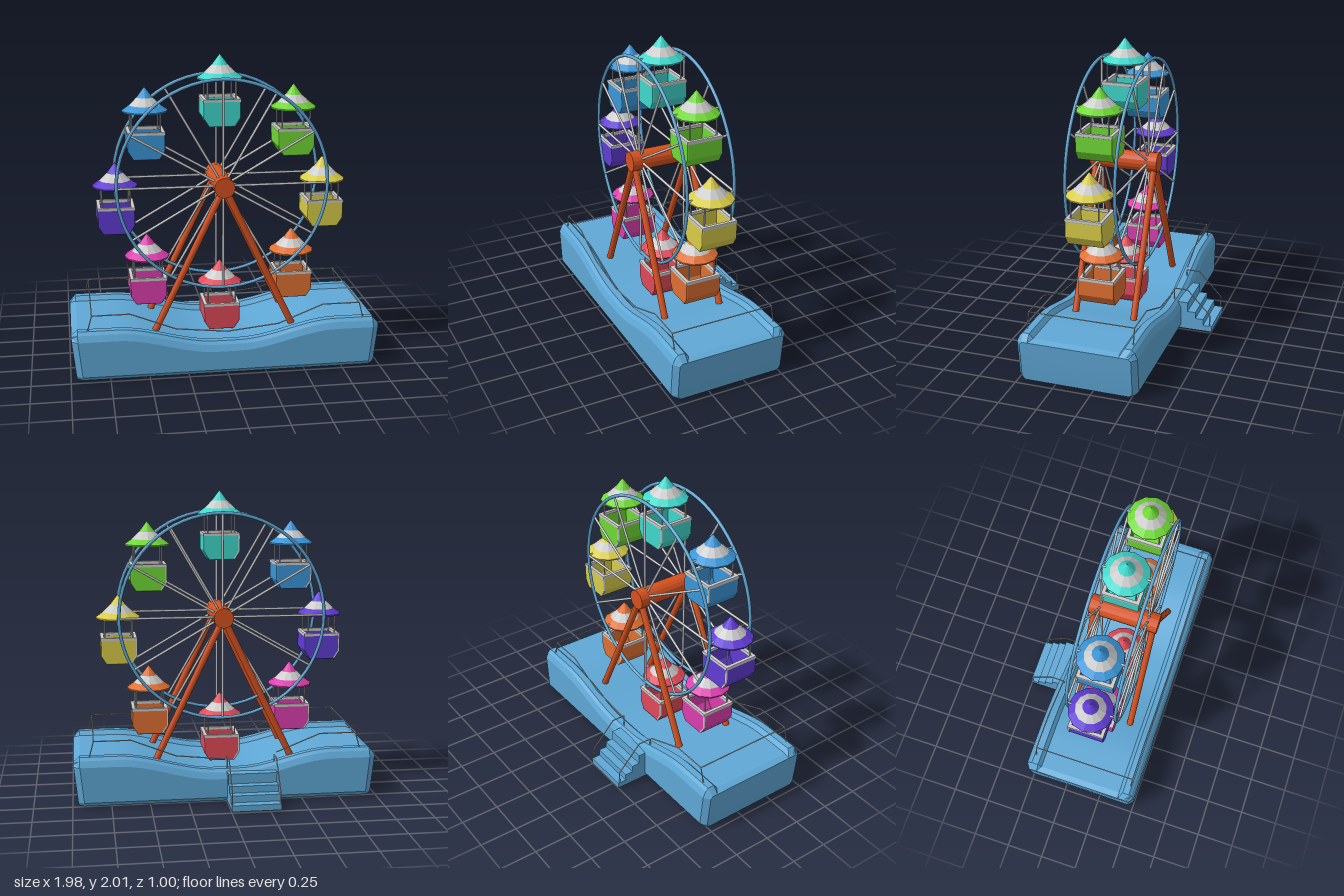
import * as THREE from 'three';
import { mergeGeometries, toCreasedNormals } from 'three/addons/utils/BufferGeometryUtils.js';

const ZC = 0.105, HUB_Y = 1.19, R = 0.677;
const mat = (color) => new THREE.MeshStandardMaterial({ color, side: THREE.DoubleSide });
const GREY = mat(0xcccccc), BLUE = mat(0x5fa8d6), RUST = mat(0xd5511f);
const V = (x, y, z) => new THREE.Vector3(x, y, z);

function add(parent, name, geometry, material) {
  const mesh = new THREE.Mesh(geometry, material);
  mesh.name = name;
  parent.add(mesh);
  return mesh;
}

// Round bar between two points
function bar(a, b, r, sides = 8) {
  const d = b.clone().sub(a);
  const g = new THREE.CylinderGeometry(r, r, d.length(), sides);
  g.applyQuaternion(new THREE.Quaternion().setFromUnitVectors(V(0, 1, 0), d.normalize()));
  return g.translate((a.x + b.x) / 2, (a.y + b.y) / 2, (a.z + b.z) / 2);
}

// Chain of bars through a list of points
const chain = (pts, r) => pts.slice(1).map((p, i) => bar(pts[i], p, r, 6));

// Height of the kerbs: level at the ends, dipping in the middle
const kerbTop = (x) => 0.22 + 0.11 * THREE.MathUtils.smoothstep(Math.abs(x), 0.08, 0.7);

// Platform lofted from cross-sections along x
function platformGeometry() {
  const xs = [-0.99, -0.95];
  for (let i = 0; i <= 28; i++) xs.push(-0.8 + i * 1.6 / 28);
  xs.push(0.95, 0.99);
  const pos = [], idx = [], n = 14;
  xs.forEach((x, i) => {
    const end = i === 0 || i === xs.length - 1;
    const t = kerbTop(x), top = end ? t - 0.045 : t, s = end ? 0.03 : 0;
    const half = [[0.375 - s, 0.01], [0.393 - s, 0.035], [0.393 - s, t - 0.06], [0.375 - s, Math.min(top, t - 0.02)],
      [0.355 - s, top], [0.31, top], [0.285, end ? top : t - 0.03]];
    const loop = [...half, ...half.map(([w, y]) => [-w, y]).reverse()];
    for (const [w, y] of loop) pos.push(x * (0.97 + 0.03 * Math.min(1, y / 0.26)), y, ZC + w);
  });
  for (let i = 0; i < xs.length - 1; i++) {
    for (let j = 0; j < n; j++) {
      const a = i * n + j, b = i * n + (j + 1) % n;
      idx.push(a, a + n, b, b, a + n, b + n);
    }
  }
  const last = (xs.length - 1) * n, c = pos.length / 3;
  pos.push(-0.98, 0.15, ZC, 0.98, 0.15, ZC);
  for (let j = 0; j < n; j++) {
    const k = (j + 1) % n;
    idx.push(c, j, k, c + 1, last + k, last + j);
  }
  const g = new THREE.BufferGeometry();
  g.setAttribute('position', new THREE.Float32BufferAttribute(pos, 3));
  g.setIndex(idx);
  return toCreasedNormals(g, 0.35);
}

// Steps at the back
function buildStairs(parent) {
  const s = new THREE.Shape();
  s.moveTo(0.2, 0.01);
  [[0.2, 0.205], [0.335, 0.205], [0.335, 0.14], [0.39, 0.14], [0.39, 0.095], [0.445, 0.095],
    [0.445, 0.05], [0.505, 0.05], [0.505, 0.01]].forEach(([z, y]) => s.lineTo(z, y));
  const g = new THREE.ExtrudeGeometry(s, { depth: 0.32, bevelEnabled: false });
  add(parent, 'stairs', g.rotateY(Math.PI / 2).translate(-0.32, 0, 0), BLUE);
  const rails = [-0.315, -0.005].flatMap((x) => chain([V(x, 0.2, -0.24), V(x, 0.3, -0.24),
    V(x, 0.3, -0.33), V(x, 0.13, -0.49), V(x, 0.04, -0.49)], 0.004));
  add(parent, 'stairRails', mergeGeometries(rails), GREY);
}

// Railing round the deck, open at the stairs
function buildRailing(parent) {
  const zf = 0.455, zb = -0.24;
  const run = (pts, z) => chain(pts.map(([x, y]) => V(x, y, z)), 0.004);
  const left = [[0.33, 0.315], [0.62, 0.43], [0.86, 0.43], [0.89, 0.32]];
  const right = left.map(([x, y]) => [-x, y]).reverse();
  const parts = [
    ...run([...right, [0, 0.28], ...left], zf),
    ...run([[0, 0.28], ...left], zb),
    ...run(right, zb),
    ...[-0.86, 0.86].map((x) => bar(V(x, 0.43, zf), V(x, 0.43, zb), 0.004, 6)),
  ];
  add(parent, 'deckRailing', mergeGeometries(parts), GREY);
}

// Outline of a cabin seen from the front
function cabinShape(inset = 0) {
  const s = new THREE.Shape(), w = 0.118 - inset;
  s.moveTo(-w, -0.15);
  s.lineTo(-w, -0.25);
  s.lineTo(-0.082 + inset * 0.5, -0.308 + inset);
  s.lineTo(0.082 - inset * 0.5, -0.308 + inset);
  s.lineTo(w, -0.25);
  s.lineTo(w, -0.15);
  return s;
}

function buildCabin(color) {
  const cabin = new THREE.Group(), paint = mat(color);
  cabin.name = 'cabin';
  const lathe = (pts) => new THREE.LatheGeometry(pts.map(([r, y]) => new THREE.Vector2(r, y)), 12).toNonIndexed();
  const roof = (name, pts, m) => {
    const g = lathe(pts);
    g.computeVertexNormals();
    add(cabin, name, g, m);
  };
  // Striped roof
  roof('roofEave', [[0, -0.018], [0.145, -0.018], [0.147, -0.008], [0.1, 0.025]], paint);
  roof('roofBand', [[0.1, 0.025], [0.052, 0.072]], GREY);
  roof('roofTip', [[0.052, 0.072], [0, 0.14]], paint);

  // Open tub: wrapped floor and sides, closed by front and back panels
  const shell = cabinShape();
  const inner = cabinShape(0.012).getPoints().reverse();
  inner.forEach((p) => shell.lineTo(p.x, p.y));
  const tub = new THREE.ExtrudeGeometry(shell, { depth: 0.22, bevelEnabled: false }).translate(0, 0, -0.11);
  const panels = [-1, 1].map((s) => new THREE.ExtrudeGeometry(cabinShape(0.008), {
    depth: 0.006, bevelThickness: 0.008, bevelSize: 0.008, bevelSegments: 2,
  }).translate(0, 0, s * 0.109 - 0.003));
  add(cabin, 'tub', mergeGeometries([tub, ...panels]), paint);

  // Grey lip, corner trim, posts and hanger
  const square = (h, Type) => new Type([[-h, -h], [h, -h], [h, h], [-h, h]].map(([x, y]) => new THREE.Vector2(x, y)));
  const lip = square(0.116, THREE.Shape);
  lip.holes.push(square(0.1, THREE.Path));
  const lipGeo = new THREE.ExtrudeGeometry(lip, { depth: 0.014, bevelThickness: 0.004, bevelSize: 0.004, bevelSegments: 2 });
  add(cabin, 'lip', lipGeo.rotateX(Math.PI / 2).translate(0, -0.136, 0), GREY);
  const trim = chain([V(-0.114, -0.15, -0.114), V(-0.114, -0.25, -0.114), V(-0.08, -0.302, -0.114)], 0.008);
  add(cabin, 'cornerTrim', mergeGeometries(trim), GREY);
  const posts = [];
  for (const x of [-0.09, 0.09]) for (const z of [-0.09, 0.09]) posts.push(bar(V(x, -0.15, z), V(x, -0.01, z), 0.005));
  posts.push(bar(V(0, 0, -0.165), V(0, 0, 0.165), 0.007));
  add(cabin, 'postsAndHanger', mergeGeometries(posts), GREY);
  return cabin;
}

function buildWheel(parent) {
  const wheel = new THREE.Group();
  wheel.name = 'wheel';
  wheel.position.set(0, HUB_Y, ZC);
  parent.add(wheel);
  // Two rims with twelve spokes each
  for (const z of [-0.16, 0.16]) {
    add(wheel, 'rim', new THREE.TorusGeometry(R, 0.011, 8, 64).translate(0, 0, z), BLUE);
    const spokes = [];
    for (let i = 0; i < 12; i++) {
      const a = i * Math.PI / 6;
      spokes.push(bar(V(0, 0, z), V(R * Math.cos(a), R * Math.sin(a), z), 0.008));
    }
    add(wheel, 'spokes', mergeGeometries(spokes), GREY);
  }
  // Upright cabins, anticlockwise from the model's left
  const colors = [0xd8cc48, 0x70d836, 0x3fd8cc, 0x3a96d8, 0x5f3cd4, 0xdc3fae, 0xe07032, 0xe04a58];
  const order = [0, 1, 2, 3, 4, 5, 7, 6];
  order.forEach((c, i) => {
    const a = i * Math.PI / 4, cabin = buildCabin(colors[c]);
    cabin.position.set(R * Math.cos(a), R * Math.sin(a), 0);
    wheel.add(cabin);
  });
}

export function createModel() {
  const model = new THREE.Group();
  model.name = 'ferrisWheel';
  add(model, 'platform', platformGeometry(), BLUE);
  buildStairs(model);
  buildRailing(model);
  // Axle and splayed legs
  const axle = new THREE.CylinderGeometry(0.066, 0.066, 0.46, 16).rotateX(Math.PI / 2);
  add(model, 'axle', toCreasedNormals(axle, 0.3), RUST).position.set(0, HUB_Y, ZC);
  for (const z of [-0.2, 0.2]) {
    for (const x of [-0.565, 0.565]) add(model, 'leg', bar(V(0, HUB_Y, ZC + z), V(x, 0.01, ZC + z), 0.022, 12), RUST);
  }
  buildWheel(model);
  return model;
}
